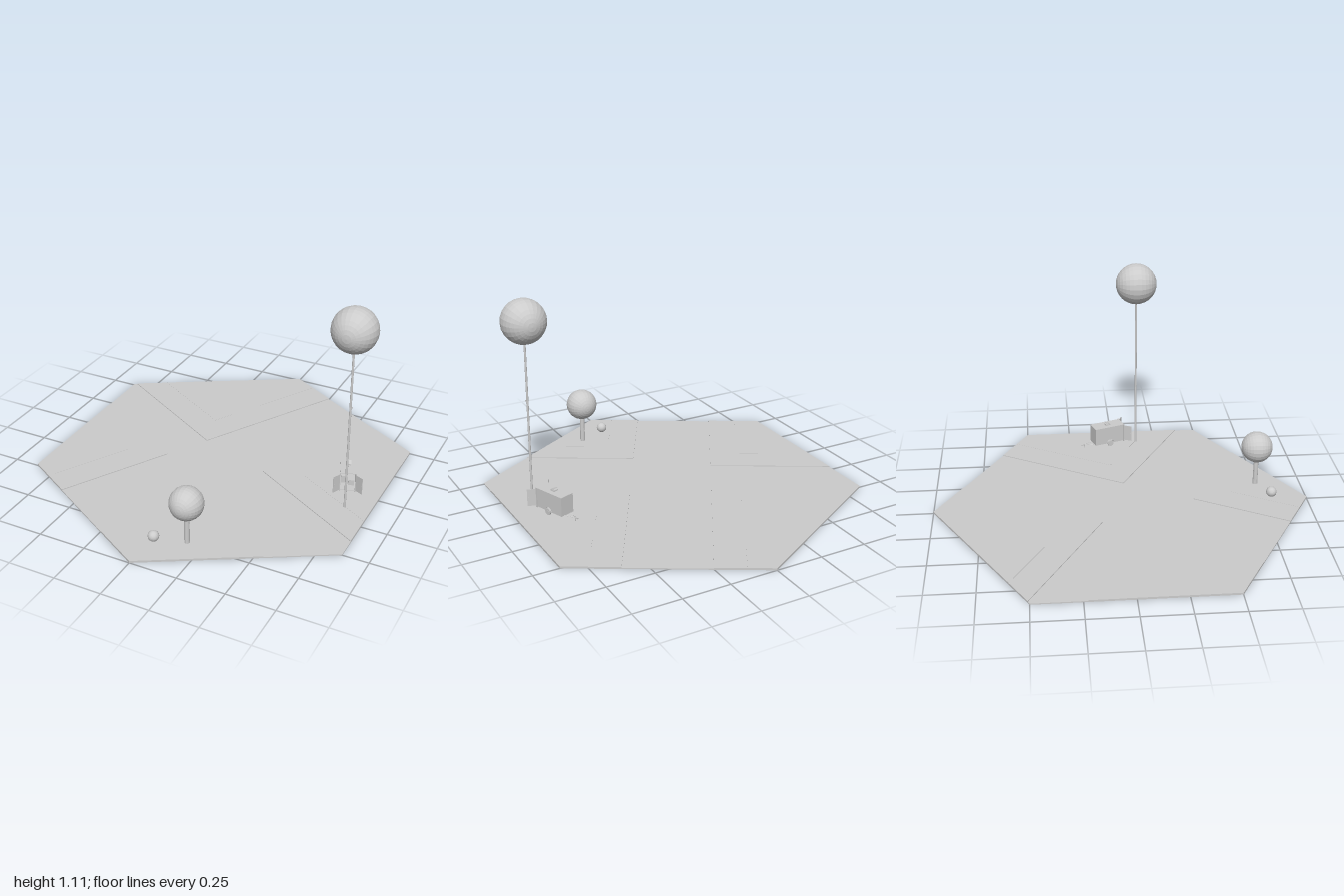
import * as THREE from 'three';

const grey = () => new THREE.MeshStandardMaterial({ color: 0xcccccc, flatShading: true });

function add(parent, name, geometry, x = 0, y = 0, z = 0, rotY = 0) {
  const mesh = new THREE.Mesh(geometry, grey());
  mesh.name = name;
  mesh.position.set(x, y, z);
  mesh.rotation.y = rotY;
  parent.add(mesh);
  return mesh;
}

function group(parent, name, x = 0, y = 0, z = 0, rotY = 0) {
  const g = new THREE.Group();
  g.name = name;
  g.position.set(x, y, z);
  g.rotation.y = rotY;
  parent.add(g);
  return g;
}

const box = (w, h, d) => new THREE.BoxGeometry(w, h, d);

// Keeps the side of a polygon where sign * (coordinate - limit) >= 0
function clip(points, axis, sign, limit) {
  const out = [];
  points.forEach((a, i) => {
    const b = points[(i + 1) % points.length];
    const da = sign * (a[axis] - limit), db = sign * (b[axis] - limit);
    if (da >= 0) out.push(a);
    if (da * db < 0) out.push(a.clone().lerp(b, da / (da - db)));
  });
  return out;
}

// Flat slab standing on the ground plane
function slab(points, height) {
  return new THREE.ExtrudeGeometry(new THREE.Shape(points), { depth: height, bevelEnabled: false })
    .rotateX(-Math.PI / 2);
}

// Hexagonal tile: low road cross, raised pavements and plots in the four corners
function buildTile(parent) {
  const tile = group(parent, 'tile', 0, 0, 0, -Math.PI / 6);
  const hex = [0, 1, 2, 3, 4, 5].map(i =>
    new THREE.Vector2(Math.cos(i * Math.PI / 3), Math.sin(i * Math.PI / 3)));
  add(tile, 'road', slab(hex, 0.006));
  const pavement = 0.155;
  // side of the long road, side of the cross road, pavement corner
  const corners = [[-1, 1, -0.21, 0.015], [-1, -1, -0.21, -0.236], [1, 1, 0.215, 0.095], [1, -1, 0.22, -0.322]];
  for (const [sx, sy, cx, cy] of corners) {
    const outer = clip(clip(hex, 'x', sx, cx), 'y', sy, cy);
    const inner = clip(clip(hex, 'x', sx, cx + sx * pavement), 'y', sy, cy + sy * pavement);
    add(tile, 'pavement', slab(outer, 0.004), 0, 0.006);
    add(tile, 'plot', slab(inner, 0.0008), 0, 0.01);
  }
}

function ball(parent, name, r, x, y, z) {
  const g = new THREE.SphereGeometry(r, 24, 16).rotateX(Math.PI / 2);
  return add(parent, name, g, x, y, z);
}

function buildTree(parent, name, x, z, trunkRadius, crownY, crownRadius) {
  const tree = group(parent, name, x, 0, z);
  const h = crownY - crownRadius * 0.8;
  add(tree, 'trunk', new THREE.CylinderGeometry(trunkRadius * 0.9, trunkRadius, h - 0.008, 12), 0, (h + 0.008) / 2, 0);
  ball(tree, 'crown', crownRadius, 0, crownY, 0);
  return tree;
}

// Small trailer: hollow body, open rear doors, wheels and drawbar (+z is its rear)
function buildTrailer(parent) {
  const trailer = group(parent, 'trailer', 0.684, 0, -0.032, 0.35);
  const W = 0.08, L = 0.18, y0 = 0.05, y1 = 0.152, t = 0.003;
  const H = y1 - y0, mid = (y0 + y1) / 2;
  add(trailer, 'floor', box(W, t, L), 0, y0 + t / 2, 0);
  add(trailer, 'roof', box(W, t, L), 0, y1 - t / 2, 0);
  add(trailer, 'frontWall', box(W, H, t), 0, mid, -L / 2 + t / 2);

  for (const s of [-1, 1]) {
    add(trailer, 'sideWall', box(t, H, L), s * (W / 2 - t / 2), mid, 0);
    add(trailer, 'rearPost', box(0.005, H + 0.006, 0.008), s * W / 2, mid - 0.002, L / 2 - 0.002);

    // Half door swung outwards
    const hinge = group(trailer, 'rearDoor', s * W / 2, mid - 0.002, L / 2, s * Math.PI / 4);
    add(hinge, 'doorPanel', box(t, H - 0.01, 0.046), 0, 0, 0.023);
    add(hinge, 'doorHandle', box(0.007, 0.006, 0.003), 0, 0, 0.04);

    // Wheel, hub and mudguard
    const wheel = new THREE.CylinderGeometry(0.018, 0.018, 0.009, 16).rotateZ(Math.PI / 2);
    add(trailer, 'wheel', wheel, s * (W / 2 + 0.006), 0.053, 0);
    const hub = new THREE.CylinderGeometry(0.008, 0.008, 0.011, 10).rotateZ(Math.PI / 2);
    add(trailer, 'hub', hub, s * (W / 2 + 0.006), 0.053, 0);
    const guard = new THREE.TorusGeometry(0.021, 0.002, 6, 12, Math.PI).rotateY(Math.PI / 2);
    add(trailer, 'mudguard', guard, s * (W / 2 + 0.005), 0.053, 0);

    // Drawbar arms meeting at the coupling
    const from = new THREE.Vector3(s * 0.022, 0.052, -L / 2 + 0.005);
    const to = new THREE.Vector3(0, 0.05, -0.152);
    const arm = new THREE.TubeGeometry(new THREE.LineCurve3(from, to), 1, 0.002, 6);
    add(trailer, 'drawbarArm', arm);
  }

  // Coupling and jack
  add(trailer, 'coupling', box(0.006, 0.006, 0.016), 0, 0.051, -0.156);
  add(trailer, 'jack', new THREE.CylinderGeometry(0.002, 0.002, 0.024, 8), 0, 0.045, -0.146);
  add(trailer, 'axle', box(W, 0.005, 0.005), 0, 0.048, 0);

  // Roof hatch, propped open
  add(trailer, 'hatchFrame', box(0.026, 0.006, 0.026), 0, y1 + 0.003, 0);
  add(trailer, 'hatchLid', box(0.026, 0.002, 0.026), 0, y1 + 0.011, 0).rotation.x = 0.35;

  // Interior shelf and load
  add(trailer, 'shelf', box(W - 2 * t, 0.003, 0.05), 0, mid, -0.05);
  add(trailer, 'crate', box(0.03, 0.03, 0.03), 0.018, y0 + t + 0.015, 0.03);
  add(trailer, 'crate', box(0.024, 0.04, 0.03), -0.022, y0 + t + 0.02, 0.01);
}

export function createModel() {
  const model = new THREE.Group();
  model.name = 'streetTile';
  buildTile(model);
  buildTree(model, 'smallTree', 0.172, 0.75, 0.014, 0.235, 0.085);
  const tall = buildTree(model, 'tallTree', 0.736, 0.138, 0.006, 0.992, 0.114);
  add(tall, 'twig', new THREE.CylinderGeometry(0.002, 0.003, 0.02, 6), 0.007, 0.578, 0).rotation.z = -0.4;
  ball(model, 'bush', 0.028, 0.022, 0.038, 0.81);
  buildTrailer(model);
  return model;
}
